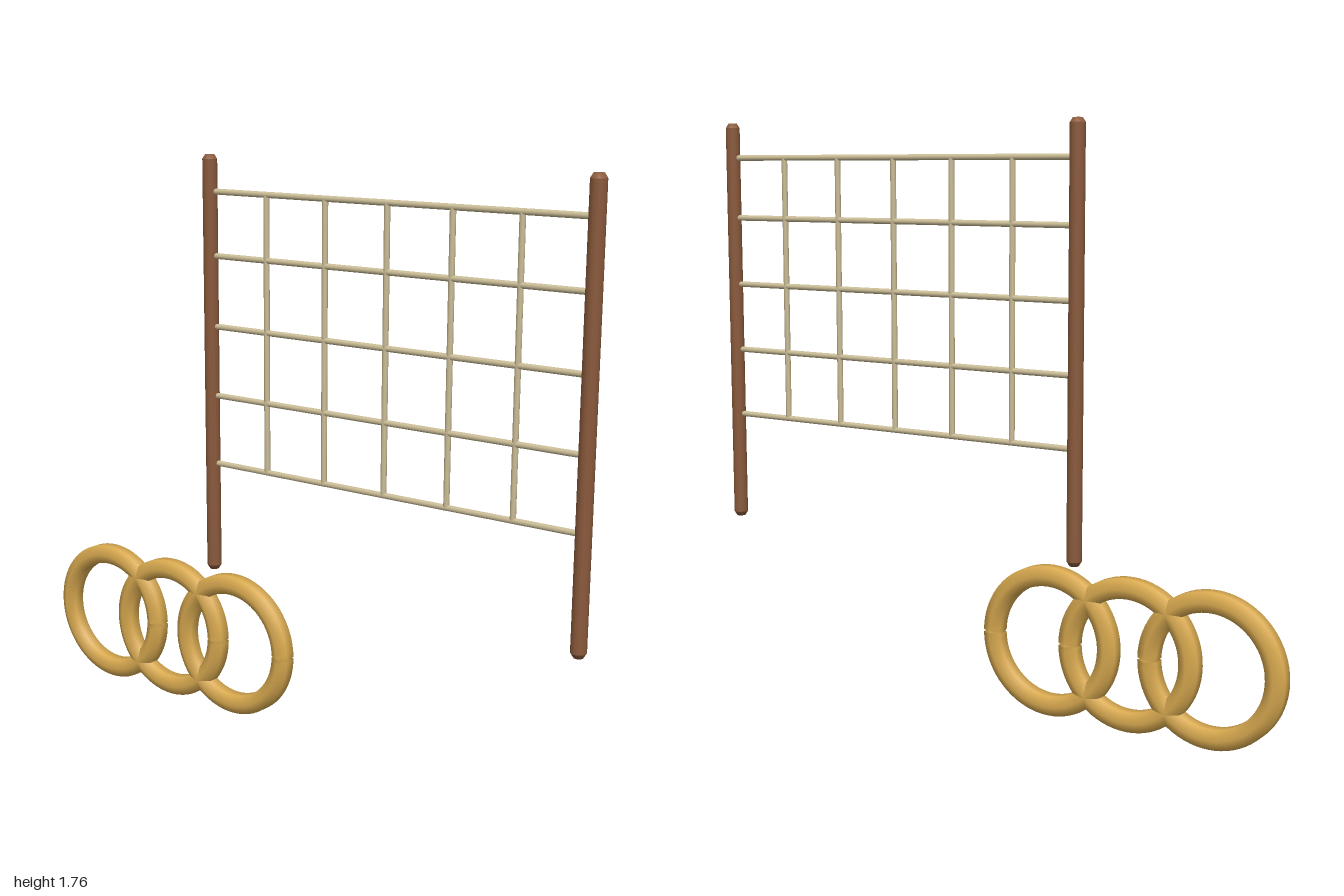
import * as THREE from 'three';

export function createModel() {
  const model = new THREE.Group();
  const mat = (name, color) => {
    const m = new THREE.MeshStandardMaterial({ color });
    m.name = name;
    return m;
  };
  const wood = mat('brown wood', 0x8b5a3c);
  const rope = mat('pale rope', 0xcdbf98);
  const gold = mat('golden ring', 0xd9aa50);
  gold.side = THREE.DoubleSide;

  const add = (name, geometry, material, x, y) => {
    const mesh = new THREE.Mesh(geometry, material);
    mesh.name = name;
    mesh.position.set(x, y, 0);
    model.add(mesh);
    return mesh;
  };

  // Interlocked rings: hexagonal tube with flats outward and a hairline seam at +x
  const ringGeometry = () => {
    const sides = 6, steps = 72, R = 0.1975, r = 0.0345, gap = 0.015;
    const pos = [], index = [];
    for (let i = 0; i <= steps; i++) {
      const u = gap + (i / steps) * (Math.PI * 2 - 2 * gap);
      for (let j = 0; j < sides; j++) {
        const v = ((j + 0.5) / sides) * Math.PI * 2;
        const d = R + r * Math.cos(v);
        pos.push(d * Math.cos(u), d * Math.sin(u), r * Math.sin(v));
        if (i === steps) continue;
        const a = i * sides + j, b = i * sides + ((j + 1) % sides);
        index.push(a, a + sides, b, b, a + sides, b + sides);
      }
    }
    const g = new THREE.BufferGeometry();
    g.setAttribute('position', new THREE.Float32BufferAttribute(pos, 3));
    g.setIndex(index);
    g.computeVertexNormals();
    return g;
  };
  const ring = ringGeometry();
  [-0.772, -0.508, -0.244].forEach((x, i) => add(`ring${i + 1}`, ring, gold, x, 0.2275));

  // Two posts with bevelled ends
  const post = new THREE.LatheGeometry([
    [0, 0], [0.014, 0], [0.0228, 0.014], [0.0228, 0.014], [0.0228, 1.281],
    [0.0228, 1.281], [0.014, 1.295], [0, 1.295],
  ].map(([x, y]) => new THREE.Vector2(x, y)), 12);
  const postX = [-0.322, 0.976];
  add('rightPost', post, wood, postX[0], 0.465);
  add('leftPost', post, wood, postX[1], 0.465);

  // Net: horizontal and vertical cords
  const width = postX[1] - postX[0];
  const cord = (length) => new THREE.CylinderGeometry(0.009, 0.009, length, 8);
  const across = cord(width).rotateZ(Math.PI / 2);
  [0.811, 1.026, 1.241, 1.457, 1.65].forEach((y, i) =>
    add(`horizontalCord${i + 1}`, across, rope, (postX[0] + postX[1]) / 2, y));
  const upright = cord(0.839);
  for (let i = 0; i < 5; i++) {
    add(`verticalCord${i + 1}`, upright, rope, -0.104 + i * 0.2158, 1.2305);
  }

  return model;
}
